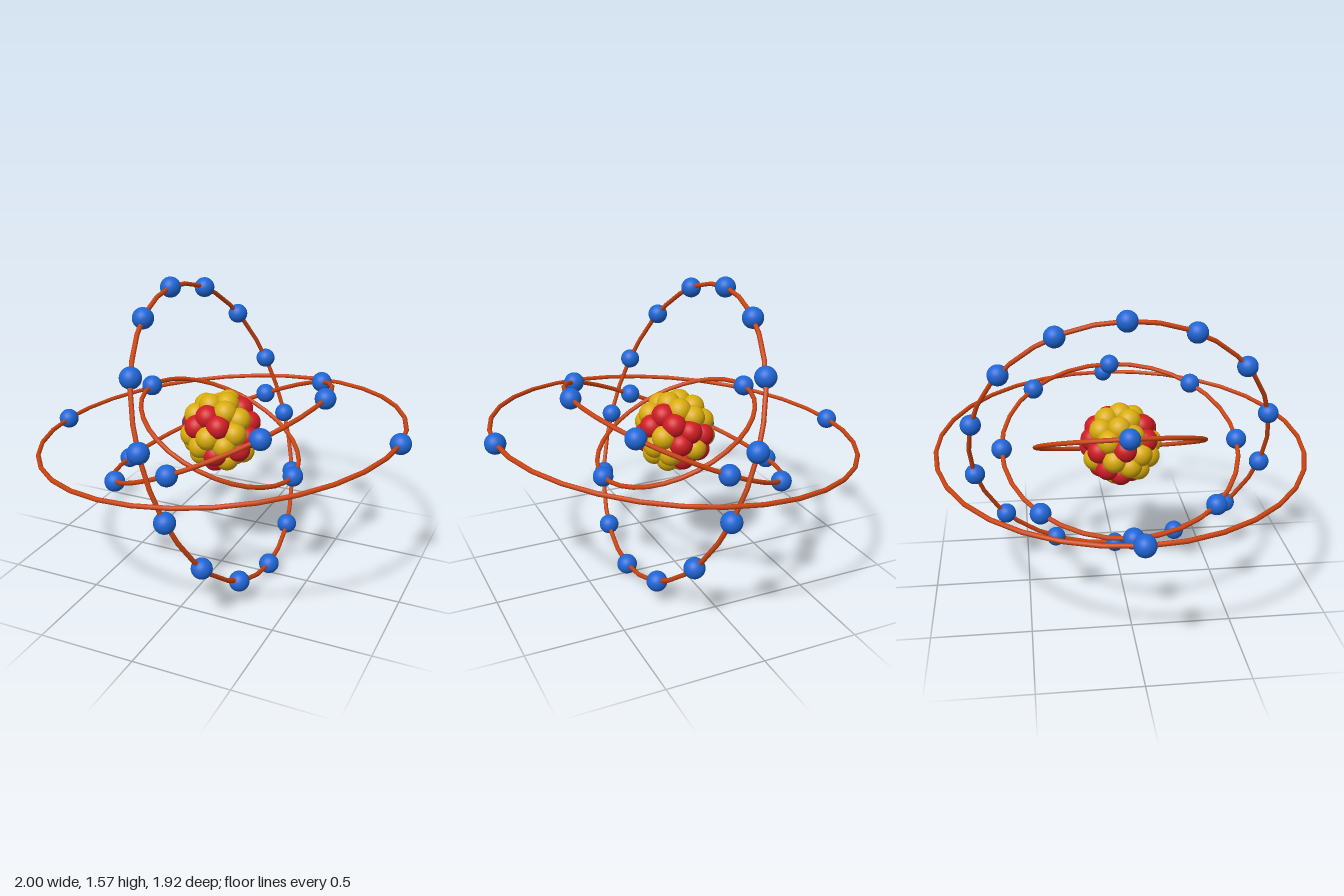
import * as THREE from 'three';

const mat = (name, color) => {
  const m = new THREE.MeshStandardMaterial({ color });
  m.name = name;
  return m;
};

export function createModel() {
  const model = new THREE.Group();
  model.name = 'atom';
  const orbitOrange = mat('orbit orange', 0xcc4410);
  const electronBlue = mat('electron blue', 0x1f66d6);
  const protonRed = mat('proton red', 0xd01c24);
  const neutronYellow = mat('neutron yellow', 0xd9ac0c);
  const centreY = 0.785;

  // Orbits: radius, tilt about z in degrees, evenly spaced electrons
  const orbits = [
    { r: 0.445, tilt: -25, n: 2 },
    { r: 0.616, tilt: 25, n: 8 },
    { r: 0.783, tilt: -68.9, n: 14 },
    { r: 0.949, tilt: 5.4, n: 2 },
  ];
  const electronGeo = new THREE.SphereGeometry(0.053, 24, 16);
  orbits.forEach(({ r, tilt, n }, i) => {
    const shell = new THREE.Group();
    shell.name = `electronShell${i + 1}`;
    shell.position.y = centreY;
    shell.rotation.z = THREE.MathUtils.degToRad(tilt);
    const ring = new THREE.Mesh(new THREE.TorusGeometry(r, 0.012, 8, 32).rotateX(Math.PI / 2), orbitOrange);
    ring.name = 'orbitRing';
    shell.add(ring);
    for (let k = 0; k < n; k++) {
      const a = (k / n) * Math.PI * 2;
      const electron = new THREE.Mesh(electronGeo, electronBlue);
      electron.name = 'electron';
      electron.position.set(r * Math.cos(a), 0, r * Math.sin(a));
      shell.add(electron);
    }
    model.add(shell);
  });

  // Nucleus: balls packed on a sphere by the golden angle
  const nucleus = new THREE.Group();
  nucleus.name = 'nucleus';
  nucleus.position.y = centreY;
  const count = 42;
  const spots = Array.from({ length: count }, (_, i) => {
    const y = 1 - (2 * i + 1) / count;
    const s = Math.sqrt(1 - y * y);
    const a = i * Math.PI * (3 - Math.sqrt(5));
    return new THREE.Vector3(s * Math.cos(a), y, s * Math.sin(a));
  });

  // Directions in which the protons lie
  const protonDirections = [
    [6, 10, 12], [-3, 10, 12], [-7, -17, 2], [13, -10, 6], [5, -10, 12], [17, 0, 0],
    [3, 5, 16], [8, 13, -10], [6, 8, -14], [5, -5, -15], [2, 4, -17], [14, 8, -8],
    [-13, 4, -12], [-6, 6, 14], [-16, 5, 3], [-10, -10, -9], [2, -16, 3], [-4, -12, -12],
  ];
  const protons = new Set();
  for (const d of protonDirections) {
    const dir = new THREE.Vector3(...d).normalize();
    let best = 0;
    spots.forEach((p, i) => { if (p.dot(dir) > spots[best].dot(dir)) best = i; });
    protons.add(best);
  }
  const nucleonGeo = new THREE.SphereGeometry(0.062, 24, 16);
  spots.forEach((p, i) => {
    const isProton = protons.has(i);
    const ball = new THREE.Mesh(nucleonGeo, isProton ? protonRed : neutronYellow);
    ball.name = isProton ? 'proton' : 'neutron';
    ball.position.copy(p).multiplyScalar(0.155);
    nucleus.add(ball);
  });
  model.add(nucleus);
  return model;
}
